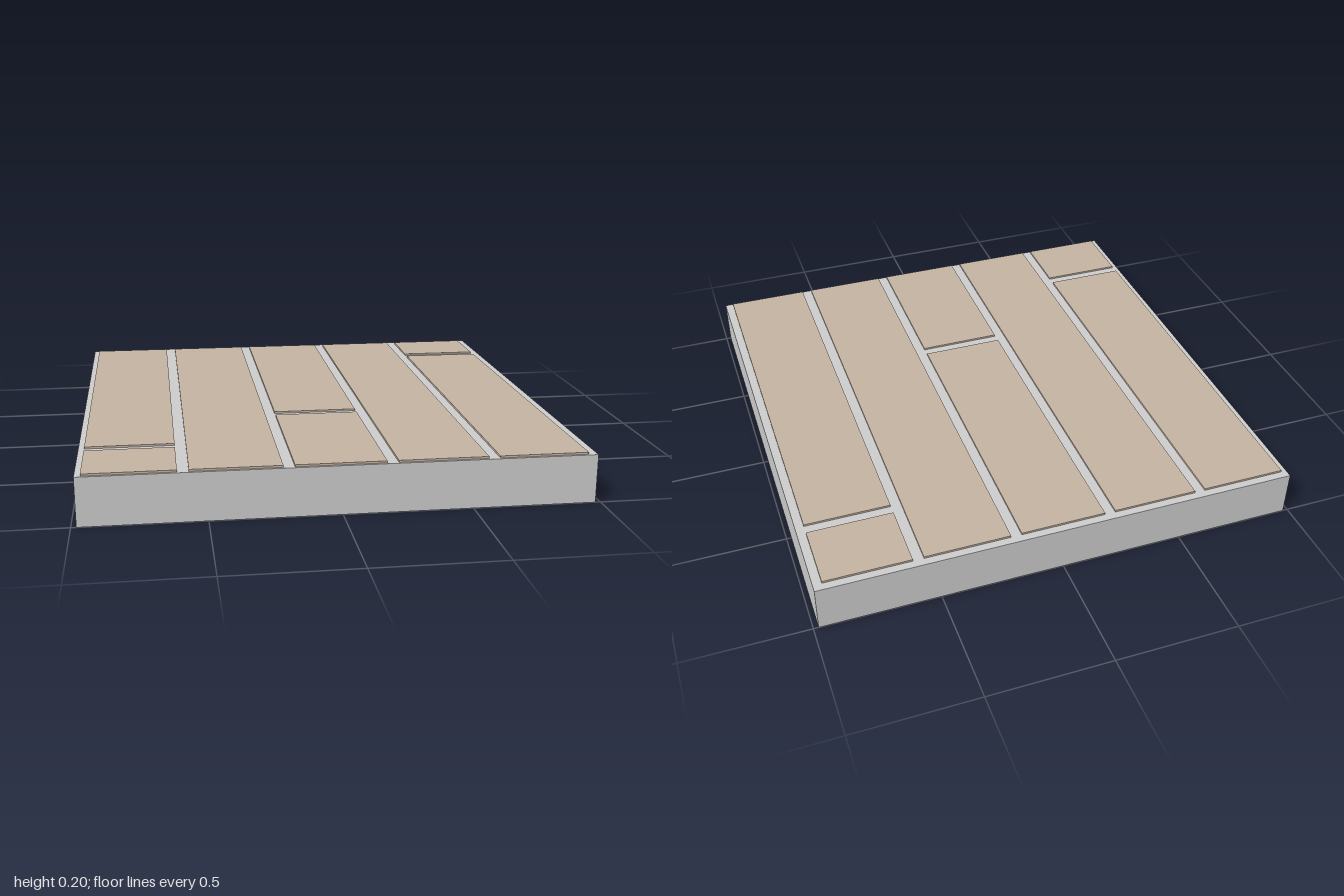
import * as THREE from 'three';

export function createModel() {
  const model = new THREE.Group();
  const stone = new THREE.MeshStandardMaterial({ color: 0xcccccc });
  const wood = new THREE.MeshStandardMaterial({ color: 0xc3b2a1 });

  function box(name, material, x0, x1, y0, y1, z0, z1) {
    const mesh = new THREE.Mesh(new THREE.BoxGeometry(x1 - x0, y1 - y0, z1 - z0), material);
    mesh.position.set((x0 + x1) / 2, (y0 + y1) / 2, (z0 + z1) / 2);
    mesh.name = name;
    model.add(mesh);
  }

  // Slab under the floor
  const slabTop = 0.192;
  box('slab', stone, -0.98, 0.98, 0, slabTop, -1, 1);

  // Five rows of planks; a number marks the middle of the joint in that row
  const joints = [0.692, null, 0.302, null, -0.676];
  const back = -0.968, front = 0.99, gap = 0.044;
  const plankWidth = 0.346, pitch = 0.389, firstX = -0.957;
  joints.forEach((joint, i) => {
    const x = firstX + i * pitch;
    const spans = joint === null
      ? [[back, front]]
      : [[back, joint - gap / 2], [joint + gap / 2, front]];
    for (const [z0, z1] of spans) {
      box('plank', wood, x, x + plankWidth, slabTop - 0.005, 0.2, z0, z1);
    }
  });

  return model;
}
